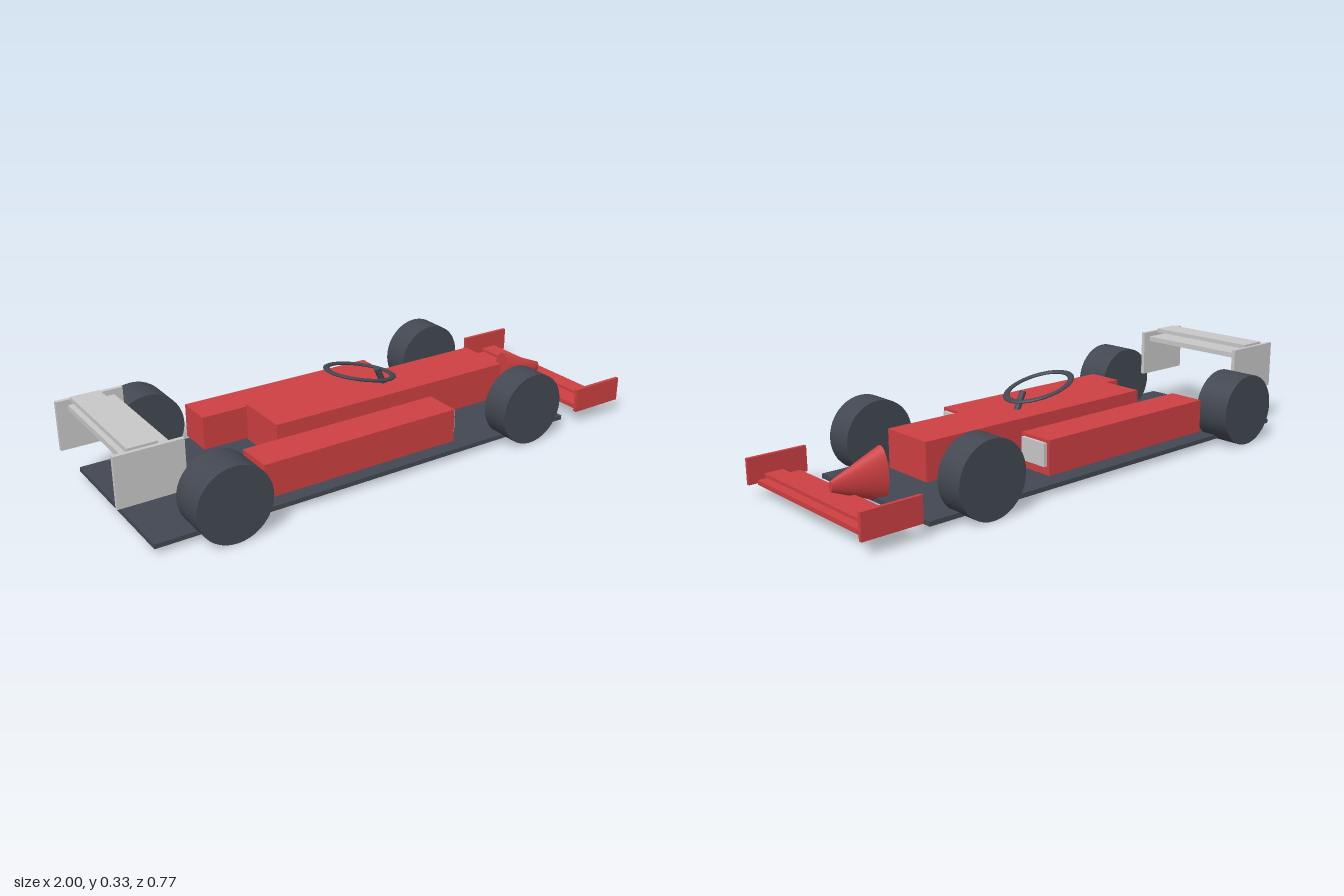
import * as THREE from 'three';

export function createModel() {
  const model = new THREE.Group();
  model.name = 'openWheelRaceCar';

  const paint = (name, color) => {
    const m = new THREE.MeshStandardMaterial({ color });
    m.name = name;
    return m;
  };
  const red = paint('bodyRed', 0xcf4042);
  const dark = paint('rubberDark', 0x434852);
  const grey = paint('wingGrey', 0xc9c9c9);

  const add = (name, geometry, material) => {
    const mesh = new THREE.Mesh(geometry, material);
    mesh.name = name;
    model.add(mesh);
    return mesh;
  };
  // Box given by its extents on each axis
  const box = (name, material, [x0, x1], [y0, y1], [z0, z1]) =>
    add(name, new THREE.BoxGeometry(x1 - x0, y1 - y0, z1 - z0), material)
      .position.set((x0 + x1) / 2, (y0 + y1) / 2, (z0 + z1) / 2);

  // Floor and central body; the car's nose points along +x
  box('floor', dark, [-0.92, 0.742], [0.022, 0.038], [-0.303, 0.303]);
  box('cockpitBody', red, [-0.375, 0.603], [0.077, 0.212], [-0.103, 0.103]);

  // Nose: truncated cone, squeezed sideways
  const cone = new THREE.CylinderGeometry(0.018, 0.095, 0.187, 40);
  cone.rotateZ(-Math.PI / 2).scale(1, 1, 0.47);
  add('noseCone', cone, red).position.set(0.798, 0.105, 0);

  // Parts repeated on both sides
  for (const s of [1, -1]) {
    const side = s > 0 ? 'Left' : 'Right';
    const span = (a, b) => (s > 0 ? [a, b] : [-b, -a]);
    box('sidePod' + side, red, [-0.525, 0.238], [0.06, 0.182], span(0.145, 0.282));
    box('podIntake' + side, grey, [0.225, 0.25], [0.09, 0.171], span(0.158, 0.27));
    box('frontEndPlate' + side, red, [0.785, 1.0], [0.052, 0.142], span(0.32, 0.333));
    box('rearEndPlate' + side, grey, [-1.0, -0.77], [0.153, 0.327], span(0.227, 0.242));

    // Wheels: rear pair wider than the front pair
    for (const [name, x, z0, z1] of [
      ['rearWheel', -0.681, 0.246, 0.383],
      ['frontWheel', 0.538, 0.25, 0.357],
    ]) {
      const tyre = new THREE.CylinderGeometry(0.1325, 0.1325, z1 - z0, 40);
      tyre.rotateX(Math.PI / 2);
      add(name + side, tyre, dark).position.set(x, 0.1345, s * (z0 + z1) / 2);
    }
  }

  // Wing planes, each with a second element above or below
  box('frontWingMain', red, [0.812, 0.968], [0.047, 0.063], [-0.322, 0.322]);
  box('frontWingFlap', red, [0.875, 0.943], [0.069, 0.08], [-0.322, 0.322]);
  box('rearWingMain', grey, [-0.96, -0.80], [0.289, 0.308], [-0.228, 0.228]);
  box('rearWingFlap', grey, [-0.95, -0.85], [0.32, 0.335], [-0.228, 0.228]);

  // Oval steering wheel, tilted down towards the nose
  const rim = new THREE.TorusGeometry(0.1, 0.01, 12, 48);
  rim.rotateX(Math.PI / 2).scale(1.3, 0.55, 0.98);
  const wheel = add('steeringWheel', rim, dark);
  wheel.position.set(0.029, 0.276, 0);
  wheel.rotation.z = -0.23;

  // Steering column between the body and the rim
  const top = new THREE.Vector3(0.103, 0.272, 0);
  const foot = new THREE.Vector3(0.137, 0.2, 0);
  const column = add('steeringColumn',
    new THREE.CylinderGeometry(0.0115, 0.0115, top.distanceTo(foot), 16), dark);
  column.position.copy(top).lerp(foot, 0.5);
  column.quaternion.setFromUnitVectors(
    new THREE.Vector3(0, 1, 0), top.clone().sub(foot).normalize());

  return model;
}
